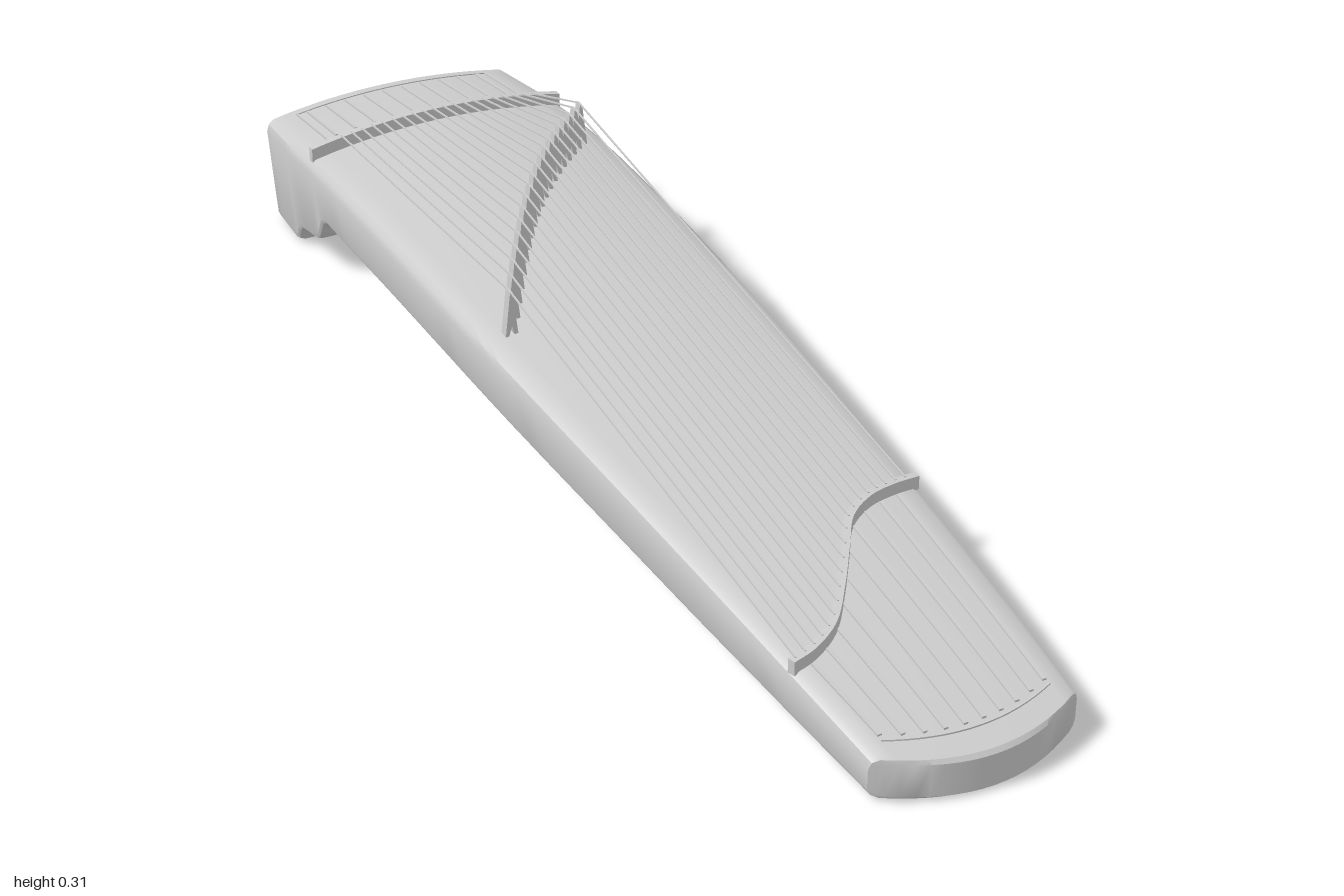
import * as THREE from 'three';
import { toCreasedNormals } from 'three/addons/utils/BufferGeometryUtils.js';

const V = (x, y, z) => new THREE.Vector3(x, y, z);
const material = new THREE.MeshStandardMaterial({ color: 0xcccccc, side: THREE.DoubleSide });

// Smooth or straight interpolation through [z, value] pairs
function table(pairs, Kind = THREE.CubicInterpolant) {
  const f = new Kind(pairs.map(p => p[0]), pairs.map(p => p[1]), 1);
  return z => f.evaluate(THREE.MathUtils.clamp(z, -1, 1))[0];
}
const halfWidth = table([[-1, 0.236], [-0.8, 0.245], [-0.4, 0.242], [0, 0.228], [0.5, 0.199], [0.95, 0.17], [1, 0.167]]);
const edgeY = table([[-1, 0.192], [-0.7, 0.213], [-0.4, 0.206], [0, 0.178], [0.5, 0.128], [0.76, 0.097], [0.94, 0.071], [1, 0.06]]);
const crown = table([[-1, 0.018], [-0.7, 0.029], [-0.4, 0.028], [0, 0.02], [0.5, 0.01], [1, 0.003]]);
const baseY = table([[-1, 0.12], [-0.7, 0.118], [-0.4, 0.108], [0, 0.08], [0.25, 0.062], [0.5, 0.042], [0.76, 0.023], [0.94, 0.008], [1, 0]]);
const footProfile = [[-1, 0], [-0.89, 0], [-0.872, 0.006], [-0.86, 0.025], [-0.845, 0.04], [-0.82, 0.047],
  [-0.77, 0.057], [-0.75, 0.068], [-0.735, 0.088], [-0.72, 0.108], [-0.7, 0.118]];
const footY = table(footProfile, THREE.LinearInterpolant);
const deckY = (x, z) => edgeY(z) + crown(z) * (1 - (x / halfWidth(z)) ** 2);

// Skin over rings; each ring runs along the top left to right, then back along the bottom
function loft(rings, crease = 0.6) {
  const m = rings[0].length, n = m / 2, last = (rings.length - 1) * m, index = [];
  for (let j = 0; j < rings.length - 1; j++) {
    for (let i = 0; i < m; i++) {
      const a = j * m + i, b = j * m + (i + 1) % m;
      index.push(a, a + m, b, b, a + m, b + m);
    }
  }
  for (let i = 0; i < n - 1; i++) {
    const t = i, u = i + 1, b = m - 1 - i, c = m - 2 - i;
    index.push(t, u, c, t, c, b);
    index.push(last + b, last + c, last + u, last + b, last + u, last + t);
  }
  const g = new THREE.BufferGeometry().setFromPoints(rings.flat());
  g.setIndex(index);
  return toCreasedNormals(g, crease);
}

// Rectangular bar standing on a path
function bar(points, w, h) {
  return loft(points.map((p, i) => {
    const d = points[Math.min(i + 1, points.length - 1)].clone().sub(points[Math.max(i - 1, 0)]);
    const s = V(d.z, 0, -d.x).setLength(w / 2), up = V(0, h, 0);
    return [p.clone().sub(s).add(up), p.clone().add(s).add(up), p.clone().add(s), p.clone().sub(s)];
  }));
}

// One cross-section of the body, bowed at both ends
function bodyRing(s, inset) {
  const corner = [[0, 0.018], [0.004, 0.006], [0.014, 0]];
  const w = halfWidth(s) - inset;
  const profile = corner.map(([dx, dy]) => [-w + dx, dy]);
  for (let i = 1; i < 16; i++) profile.push([(-w + 0.014) * (1 - i / 8), 0]);
  corner.slice().reverse().forEach(([dx, dy]) => profile.push([w - dx, dy]));
  const bow = s > 0.7 ? -0.052 * ((s - 0.7) / 0.3) ** 2 : s < -0.9 ? 0.15 * (-0.9 - s) : 0;
  const place = (x, dy, top) => {
    const z = s + bow * (x / w) ** 2;
    if (top) return V(x, deckY(x, z) - dy - inset, z);
    const y = z < -0.7 ? footY(z) : baseY(z);
    const narrow = 1 - 0.4 * Math.max(0, baseY(z) - y);
    return V(x * narrow, y + dy * 0.7 + inset, z);
  };
  return [...profile.map(p => place(p[0], p[1], true)), ...profile.reverse().map(p => place(p[0], p[1], false))];
}

export function createModel() {
  const model = new THREE.Group();
  const add = (name, geometry, parent = model) => {
    const mesh = new THREE.Mesh(geometry, material);
    mesh.name = name;
    parent.add(mesh);
    return mesh;
  };
  const group = name => {
    const g = new THREE.Group();
    g.name = name;
    model.add(g);
    return g;
  };
  const onDeck = (x, z, lift = 0) => V(x, deckY(x, z) + lift, z);

  // Arched body with the foot under its wide end
  const stations = [-0.994, -0.96, -0.92, ...footProfile.slice(1).map(p => p[0])];
  for (let i = 0; i <= 30; i++) stations.push(-0.65 + i * 0.0545);
  const rings = stations.map(s => bodyRing(s, 0));
  add('body', loft([bodyRing(-1, 0.005), ...rings, bodyRing(0.994, 0), bodyRing(1, 0.005)]));

  // S-shaped front rail
  const railCurve = new THREE.CatmullRomCurve3([[-0.178, 0.76], [-0.14, 0.75], [-0.09, 0.72], [-0.04, 0.66],
    [0.01, 0.59], [0.05, 0.535], [0.1, 0.503], [0.15, 0.49], [0.196, 0.485]].map(p => V(p[0], 0, p[1])));
  const railPath = railCurve.getPoints(40);
  const railZ = table(railPath.map(p => [p.x, p.z]), THREE.LinearInterpolant);
  add('frontRail', bar(railPath.map(p => onDeck(p.x, p.z, -0.004)), 0.013, 0.023));

  // Arched rear nut
  const nutPath = [];
  for (let i = 0; i <= 24; i++) {
    const x = -0.237 + i * 0.01975;
    nutPath.push(onDeck(x, -0.77, -0.004));
  }
  add('rearNut', bar(nutPath, 0.013, 0.026));

  // Movable bridges on the diagonal, each with its string
  const bridges = group('bridges'), strings = group('strings');
  const height = 0.077, count = 20;
  const outline = new THREE.Shape([[-0.011, 0], [-0.005, 0], [0, 0.018], [0.005, 0], [0.011, 0],
    [0.002, height], [-0.002, height]].map(p => new THREE.Vector2(...p)));
  const bridgeGeometry = new THREE.ExtrudeGeometry(outline, { depth: 0.016, bevelEnabled: false }).translate(0, 0, -0.008);
  for (let i = 0; i < count; i++) {
    const t = i / (count - 1), x = -0.183 + 0.371 * t;
    const z = -0.1 - 0.49 * t - 0.04 * Math.sin(Math.PI * t);
    const foot = onDeck(x, z, -0.002);
    add('bridge', bridgeGeometry, bridges).position.copy(foot);
    const startX = x * 0.93, endX = x * 0.98;
    add('string', bar([onDeck(startX, railZ(startX), 0.018), foot.clone().add(V(0, height - 0.001, 0)),
      onDeck(endX, -0.77, 0.021)], 0.0025, 0.0025), strings);
  }

  // Raised strips and borders on the two end panels
  const strips = group('endPanelStrips');
  const strip = (x0, z0, x1, z1, w = 0.007) => {
    const path = [];
    for (let i = 0; i <= 10; i++) {
      const k = i / 10;
      path.push(onDeck(x0 + (x1 - x0) * k, z0 + (z1 - z0) * k, -0.003));
    }
    add('strip', bar(path, w, 0.006), strips);
  };
  for (let i = 0; i < 10; i++) {
    const u = i / 4.5 - 1, xf = 0.132 * u, xr = 0.15 * u + 0.006;
    strip(xr, railZ(xr) + 0.01, xf, 0.945 - 0.03 * u * u);
    strip(0.168 * u, -0.82, 0.165 * u, -0.96, 0.005);
  }
  strip(-0.187, -0.812, -0.184, -0.966, 0.003);
  strip(0.187, -0.812, 0.184, -0.966, 0.003);
  const border = (halfX, z, bow) => {
    const path = [];
    for (let i = 0; i <= 16; i++) {
      const u = i / 8 - 1;
      path.push(onDeck(halfX * u, z + bow * u * u, -0.003));
    }
    add('panelBorder', bar(path, 0.003, 0.005), strips);
  };
  border(0.135, 0.953, -0.03);
  border(0.184, -0.972, 0.007);
  border(0.187, -0.818, 0.007);

  // Plates standing out of the underside
  const plates = group('undersidePlates');
  const plate = (shape, z, y) => {
    const g = new THREE.ExtrudeGeometry(shape, { depth: baseY(z) + 0.015 - y, bevelEnabled: false, curveSegments: 24 });
    const mesh = add('undersidePlate', g.rotateX(Math.PI / 2), plates);
    mesh.position.set(0, baseY(z) + 0.015, z);
  };
  const roundPlate = (r, d, notch) => {
    const s = new THREE.Shape();
    s.moveTo(-r, -d);
    s.lineTo(0, -d);
    s.lineTo(0, -d + notch);
    s.lineTo(r * 0.5, -d + notch);
    s.lineTo(r * 0.5, -d);
    s.lineTo(r, -d);
    s.lineTo(r, 0);
    s.absellipse(0, 0, r, d, 0, Math.PI, false);
    return s;
  };
  plate(roundPlate(0.085, 0.055, 0.045), -0.475, 0.09);
  plate(roundPlate(0.07, 0.043, 0.035), 0.24, 0.055);
  plate(new THREE.Shape([[-0.085, 0.038], [-0.085, -0.038], [-0.05, -0.038], [-0.05, 0], [-0.02, 0], [-0.02, -0.038],
    [0.02, -0.038], [0.02, 0], [0.05, 0], [0.05, -0.038], [0.085, -0.038], [0.085, 0.038]]
    .map(p => new THREE.Vector2(...p))), -0.118, 0.074);

  return model;
}
